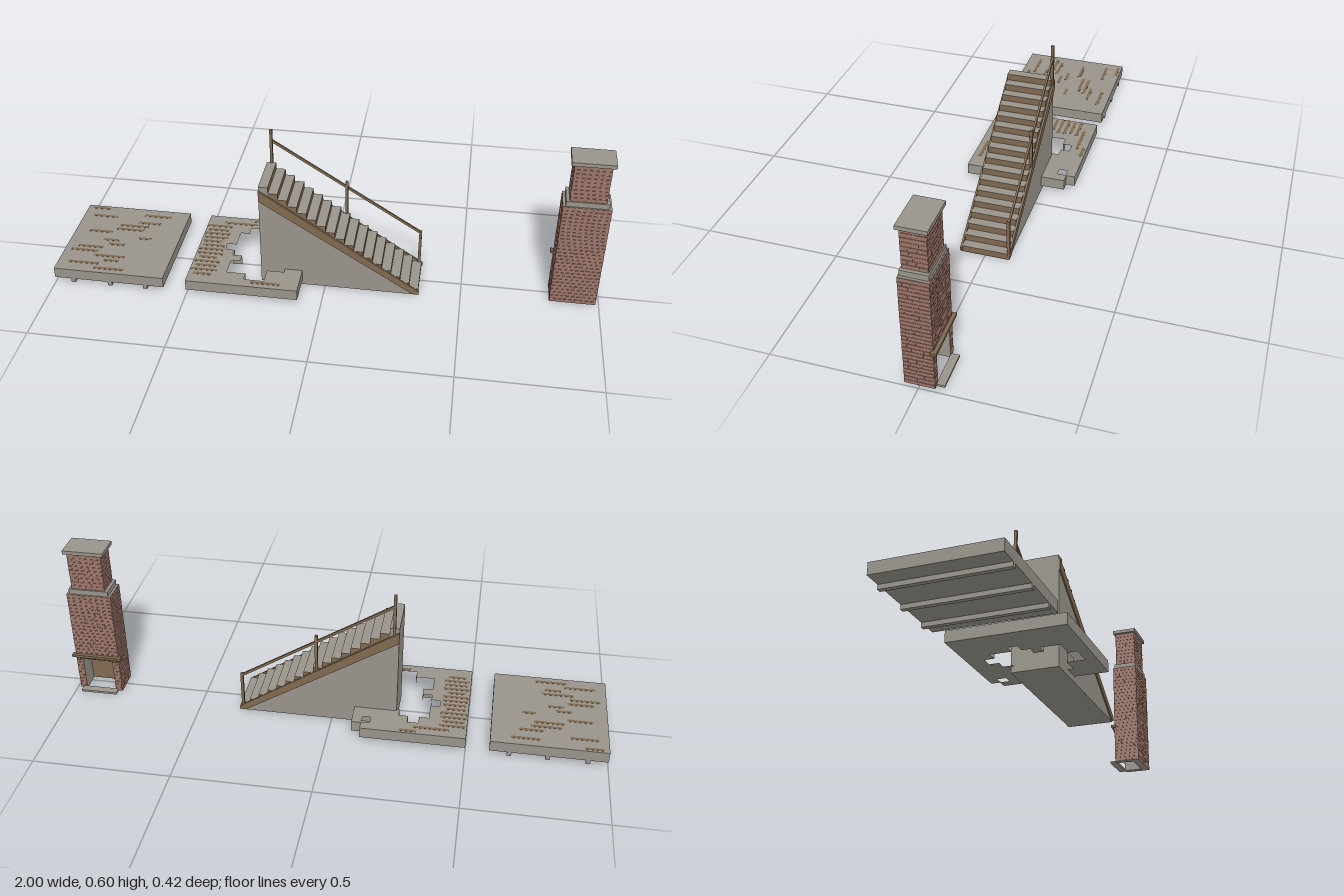
import * as THREE from 'three';
import { mergeGeometries } from 'three/addons/utils/BufferGeometryUtils.js';

const stone = new THREE.MeshStandardMaterial({ color: 0x98948b });
stone.name = 'grey stone';
const wood = new THREE.MeshStandardMaterial({ color: 0x80694f });
wood.name = 'brown wood';
const brick = new THREE.MeshStandardMaterial({ color: 0x9c7467 });
brick.name = 'red brick';

// box geometry given by its minimum and maximum on each axis
function span(x0, x1, y0, y1, z0, z1) {
  const g = new THREE.BoxGeometry(x1 - x0, y1 - y0, z1 - z0);
  return g.translate((x0 + x1) / 2, (y0 + y1) / 2, (z0 + z1) / 2);
}

function add(group, name, geometry, material) {
  const mesh = new THREE.Mesh(geometry, material);
  mesh.name = name;
  group.add(mesh);
  return mesh;
}

// shape from point pairs; sign -1 turns plan (x, z) into shape space
function outline(points, sign = 1, Type = THREE.Shape) {
  return new Type(points.map(([a, b]) => new THREE.Vector2(a, b * sign)));
}

function extrude(shape, depth) {
  return new THREE.ExtrudeGeometry(shape, { depth, bevelEnabled: false });
}

function randomizer(seed) {
  return () => (seed = (seed * 16807) % 2147483647) / 2147483647;
}

// worn plank patches lying on a floor: [x0, x1, z]
function planks(list) {
  return mergeGeometries(list.map(([x0, x1, z]) => span(x0, x1, 0.0625, 0.0637, z, z + 0.012)));
}

function wholeFloor() {
  const group = new THREE.Group();
  group.name = 'wholeFloor';
  add(group, 'floorSlab', span(-1, -0.585, 0.022, 0.063, -0.208, 0.208), stone);
  for (const x of [-0.93, -0.79, -0.655]) {
    add(group, 'joist', span(x - 0.008, x + 0.008, 0.006, 0.022, -0.208, 0.208), stone);
  }
  const rnd = randomizer(17);
  const list = [];
  for (let i = 0; i < 16; i++) {
    const x = -0.98 + rnd() * 0.26;
    list.push([x, x + 0.05 + rnd() * 0.07, -0.2 + i * 0.025]);
  }
  add(group, 'wornPlanks', planks(list), wood);
  return group;
}

function brokenFloor() {
  const group = new THREE.Group();
  group.name = 'brokenFloor';
  const shape = outline([[-0.5, -0.208], [-0.12, -0.208], [-0.12, -0.175], [-0.085, -0.175],
    [-0.085, 0.208], [-0.5, 0.208]], -1);
  // ragged main hole and a small one near the broken corner
  shape.holes.push(outline([[-0.325, -0.145], [-0.285, -0.145], [-0.285, -0.11], [-0.25, -0.11],
    [-0.25, -0.075], [-0.15, -0.075], [-0.15, 0.105], [-0.215, 0.105], [-0.215, 0.168],
    [-0.29, 0.168], [-0.29, 0.135], [-0.36, 0.135], [-0.36, 0.065], [-0.325, 0.065],
    [-0.325, 0.03], [-0.36, 0.03], [-0.36, 0], [-0.395, 0], [-0.395, -0.035],
    [-0.36, -0.035], [-0.36, -0.11], [-0.325, -0.11]], -1, THREE.Path));
  shape.holes.push(outline([[-0.152, -0.172], [-0.122, -0.172], [-0.122, -0.14], [-0.152, -0.14]],
    -1, THREE.Path));
  const slab = extrude(shape, 0.041).rotateX(-Math.PI / 2).translate(0, 0.022, 0);
  add(group, 'brokenSlab', slab, stone);
  const rnd = randomizer(5);
  const list = [];
  for (let i = 0; i < 16; i++) {
    const z = -0.2 + i * 0.025;
    const right = z < -0.16 ? -0.17 : z > 0.17 ? -0.1 : -0.4;
    const length = Math.min(0.06 + rnd() * 0.09, right + 0.495);
    const x = -0.495 + rnd() * (right + 0.495 - length);
    list.push([x, x + length, z]);
  }
  add(group, 'wornPlanks', planks(list), wood);
  return group;
}

function staircase() {
  const group = new THREE.Group();
  group.name = 'staircase';
  const steps = 17, x0 = -0.24, x1 = 0.345, top = 0.418;
  const run = (x1 - x0) / steps, rise = top / steps;
  // solid wedge below the steps
  const wedge = extrude(outline([[x0, 0], [x1, 0], [x0, top - rise]]), 0.172);
  add(group, 'stairBody', wedge.translate(0, 0, -0.086), stone);
  // steps with stone treads and wooden risers
  for (let i = 0; i < steps; i++) {
    const y = top - i * rise, x = x0 + i * run;
    const side = i === 0 ? stone : wood;
    add(group, 'step', span(x, x + run, Math.max(0.001, y - 1.6 * rise), y, -0.084, 0.084),
      [wood, stone, stone, stone, side, side]);
  }
  // tapering side boards
  const board = outline([[x0, 0.36], [0.325, 0.004], [0.348, 0.004], [0.348, 0.017], [x0, 0.404]]);
  for (const z of [-0.091, 0.084]) {
    add(group, 'stringer', extrude(board, 0.007).translate(0, 0, z), wood);
  }
  // railing on the far side
  for (const [x, y0, y1] of [[-0.222, 0.38, 0.555], [0.056, 0.19, 0.36], [0.335, 0.002, 0.165]]) {
    add(group, 'railPost', span(x - 0.005, x + 0.005, y0, y1, -0.09, -0.079), wood);
  }
  const rail = extrude(outline([[-0.222, 0.505], [0.335, 0.153], [0.335, 0.164], [-0.222, 0.516]]), 0.007);
  add(group, 'handrail', rail.translate(0, 0, -0.09), wood);
  return group;
}

// staggered courses of bricks on four walls; door = [x0, x1, height] stays open at the back
function brickCourses(x0, x1, y0, y1, z0, z1, courses, rnd, door) {
  const parts = [];
  const h = (y1 - y0) / courses, gap = 0.0009, out = 0.002;
  const row = (a, b, place) => {
    let s = a;
    while (s < b - 0.001) {
      let e = s + 0.022 + rnd() * 0.035;
      if (e > b - 0.014) e = b;
      parts.push(place(s + (s > a ? gap : 0), e - (e < b ? gap : 0), out * (0.6 + 0.4 * rnd())));
      s = e;
    }
  };
  for (let i = 0; i < courses; i++) {
    const lo = y0 + i * h + gap, hi = y0 + (i + 1) * h - gap;
    row(x0, x1, (a, b, d) => span(a, b, lo, hi, z1 - 0.002, z1 + d));
    const back = door && lo < door[2] ? [[x0, door[0]], [door[1], x1]] : [[x0, x1]];
    for (const [l, r] of back) row(l, r, (a, b, d) => span(a, b, lo, hi, z0 - d, z0 + 0.002));
    row(z0, z1, (a, b, d) => span(x1 - 0.002, x1 + d, lo, hi, a, b));
    row(z0, z1, (a, b, d) => span(x0 - d, x0 + 0.002, lo, hi, a, b));
  }
  return mergeGeometries(parts);
}

function chimney() {
  const group = new THREE.Group();
  group.name = 'chimney';
  const rnd = randomizer(41);
  const x0 = 0.823, x1 = 0.987, z = 0.049, door = [0.848, 0.962, 0.135];
  // mortar core around the fireplace opening
  add(group, 'leftJamb', span(door[1], x1, 0, door[2], -z, z), stone);
  add(group, 'rightJamb', span(x0, door[0], 0, door[2], -z, z), stone);
  add(group, 'fireWall', span(door[0], door[1], 0, door[2], 0.025, z), stone);
  add(group, 'breast', span(x0, x1, door[2], 0.42, -z, z), stone);
  add(group, 'fireboard', span(door[0], door[1], 0.002, door[2], 0.02, 0.025), wood);
  add(group, 'fireCeiling', span(door[0], door[1], door[2] - 0.004, door[2], -0.045, 0.02), wood);
  add(group, 'lowerBricks', brickCourses(x0, x1, 0, 0.42, -z, z, 28, rnd, door), brick);
  // shoulder, stack and cap
  add(group, 'shoulder', span(0.831, 0.979, 0.42, 0.44, -0.046, 0.046), stone);
  add(group, 'stack', span(0.843, 0.967, 0.44, 0.586, -0.041, 0.041), stone);
  add(group, 'upperBricks', brickCourses(0.843, 0.967, 0.44, 0.586, -0.041, 0.041, 9, rnd), brick);
  add(group, 'cap', span(0.83, 0.98, 0.586, 0.6, -0.05, 0.05), stone);
  // mantel, its brackets and the hearth
  add(group, 'mantel', span(0.811, 0.999, 0.148, 0.158, -0.063, -0.043), wood);
  for (const x of [0.835, 0.975]) {
    add(group, 'bracket', span(x - 0.006, x + 0.006, 0.134, 0.148, -0.058, -0.048), wood);
  }
  add(group, 'hearth', span(0.838, 0.975, 0, 0.008, -0.077, -0.049), stone);
  return group;
}

export function createModel() {
  const model = new THREE.Group();
  model.name = 'ruinedHouseParts';
  model.add(wholeFloor(), brokenFloor(), staircase(), chimney());
  return model;
}
